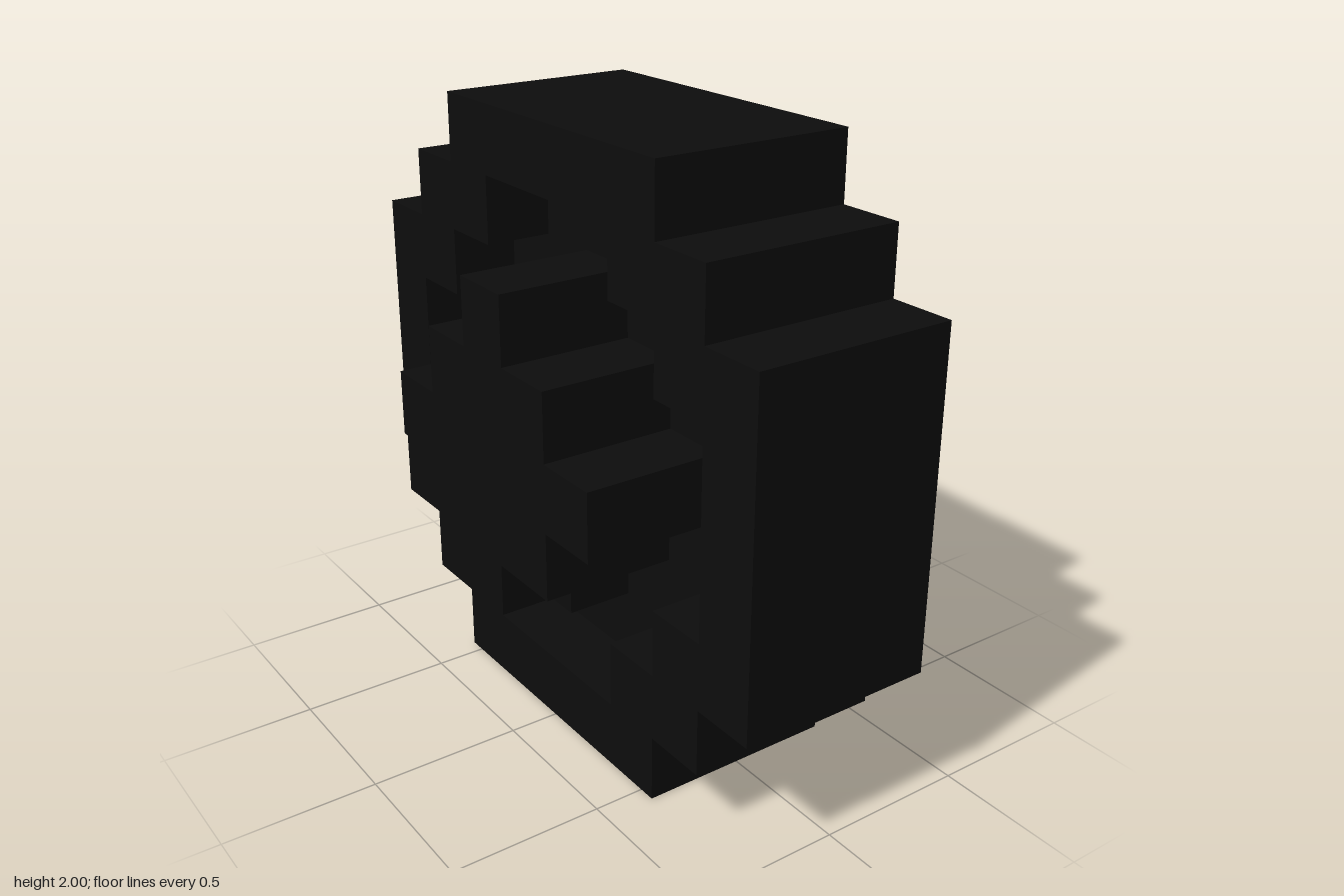
import * as THREE from 'three';

const U = 2 / 9; // one block

// Stepped outline, symmetric about the axle; steps are [halfWidth, halfHeight] from wide to tall
function steppedPoints(steps) {
  const quarter = [];
  steps.forEach(([w, h], i) => {
    if (i > 0) quarter.push([w, steps[i - 1][1]]);
    quarter.push([w, h]);
  });
  const mirrored = [...quarter].reverse();
  return [
    ...quarter,
    ...mirrored.map(([w, h]) => [-w, h]),
    ...quarter.map(([w, h]) => [-w, -h]),
    ...mirrored.map(([w, h]) => [w, -h]),
  ].map(([w, h]) => new THREE.Vector2(w * U, h * U));
}

// Extrudes a stepped outline along x from x0 to x1 (in blocks)
function slab(name, material, steps, x0, x1, holeSteps) {
  const shape = new THREE.Shape(steppedPoints(steps));
  if (holeSteps) shape.holes.push(new THREE.Path(steppedPoints(holeSteps)));
  const geometry = new THREE.ExtrudeGeometry(shape, { depth: (x1 - x0) * U, bevelEnabled: false });
  geometry.rotateY(Math.PI / 2);
  geometry.translate(x0 * U, 4.5 * U, 0);
  const mesh = new THREE.Mesh(geometry, material);
  mesh.name = name;
  return mesh;
}

// Box given by its limits in blocks
function block(name, material, x0, x1, y0, y1, z0, z1) {
  const geometry = new THREE.BoxGeometry((x1 - x0) * U, (y1 - y0) * U, (z1 - z0) * U);
  const mesh = new THREE.Mesh(geometry, material);
  mesh.position.set(((x0 + x1) / 2) * U, ((y0 + y1) / 2) * U, ((z0 + z1) / 2) * U);
  mesh.name = name;
  return mesh;
}

export function createModel() {
  const flat = (name, color) => {
    const m = new THREE.MeshStandardMaterial({ color });
    m.name = name;
    return m;
  };
  const rubber = flat('black rubber', 0x0d0d0d);
  const silver = flat('light grey', 0xc0c0c0);
  const grey = flat('dark grey', 0x535353);
  const red = flat('dark red', 0x4b0d0e);

  const wheel = new THREE.Group();
  wheel.name = 'wheel';

  // Tyre: solid disc with a raised ring around the recessed inner side
  const tyre = [[4.5, 2.5], [3.5, 3.5], [2.5, 4.5]];
  const recess = [[3.5, 1.5], [2.5, 2.5], [1.5, 3.5]];
  wheel.add(slab('tyreDisc', rubber, tyre, -0.5, 1.5));
  wheel.add(slab('tyreRing', rubber, tyre, -1.5, -0.5, recess));

  // Hub standing out of the recess
  wheel.add(block('hubCore', rubber, -2.5, -0.5, 3, 6, -1.5, 1.5));
  wheel.add(block('hubTop', rubber, -2.5, -0.5, 6, 7, -0.5, 0.5));
  wheel.add(block('hubFoot', rubber, -1.5, -0.5, 2, 3, -0.5, 0.5));
  for (const s of [-1, 1]) {
    wheel.add(block('hubArm', rubber, -2.5, -0.5, 4, 5, s * 2 - 0.5, s * 2 + 0.5));
  }

  // Flat cover plate on the outer side
  wheel.add(slab('coverPlate', silver, [[2.5, 1.5], [1.5, 2.5]], 1.49, 1.515));

  // Four studs in alternating colours
  for (const sy of [-1, 1]) {
    for (const sz of [-1, 1]) {
      wheel.add(block('stud', sy === sz ? red : grey, 1.5, 2.5, 4 + sy, 5 + sy, sz - 0.5, sz + 0.5));
    }
  }
  return wheel;
}
